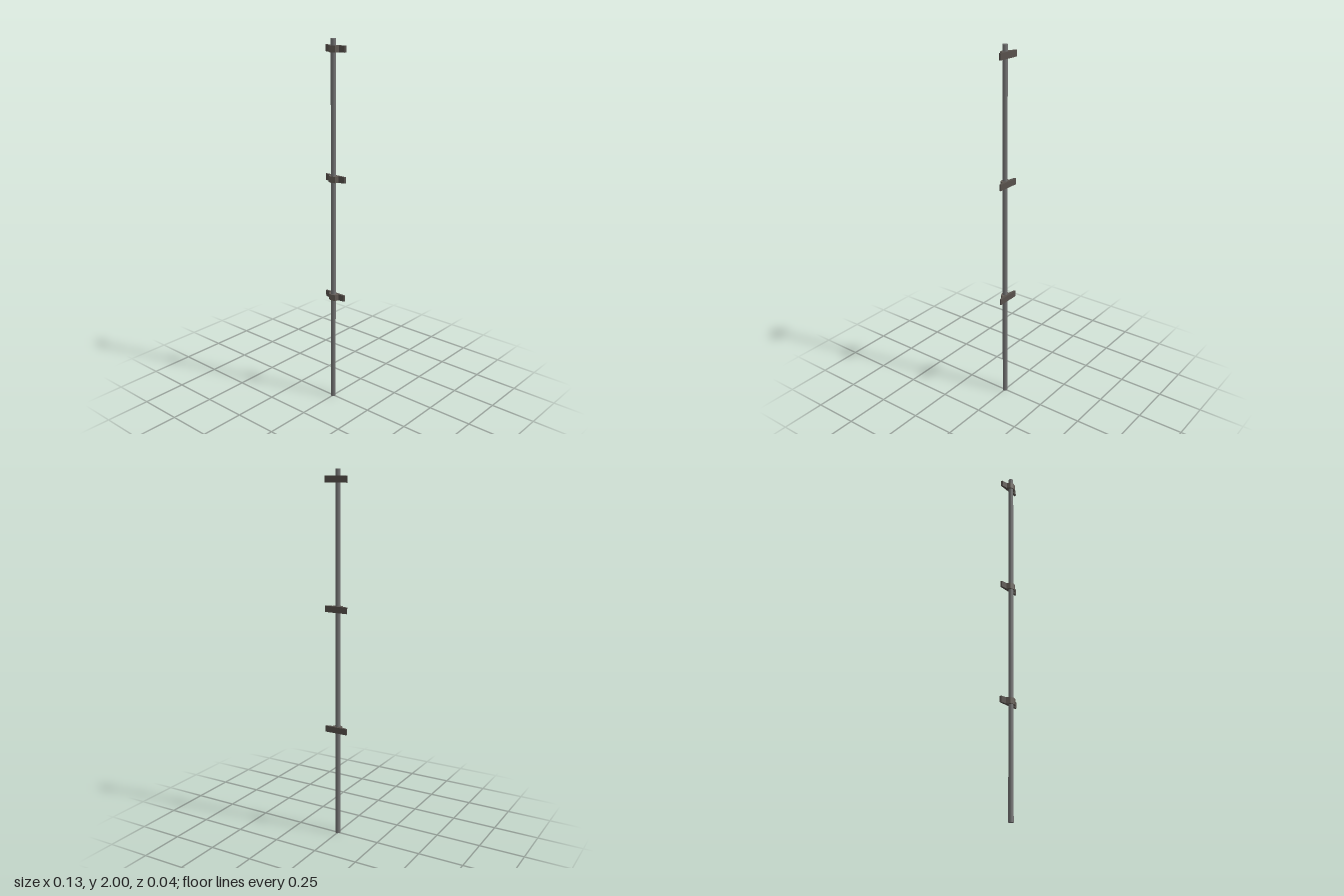
import * as THREE from 'three';

// Slab of constant height from an outline given as [x, z], centred on y = 0
function slab(points, height, material, name) {
  const shape = new THREE.Shape(points.map(([x, z]) => new THREE.Vector2(x, -z)));
  const geometry = new THREE.ExtrudeGeometry(shape, { depth: height, bevelEnabled: false });
  geometry.rotateX(-Math.PI / 2);
  geometry.translate(0, -height / 2, 0);
  const mesh = new THREE.Mesh(geometry, material);
  mesh.name = name;
  return mesh;
}

export function createModel() {
  const model = new THREE.Group();
  model.name = 'pipeWithBrackets';

  const steel = new THREE.MeshStandardMaterial({ color: 0x747474 });
  steel.name = 'grey steel';
  const plateBrown = new THREE.MeshStandardMaterial({ color: 0x57514c });
  plateBrown.name = 'dark brown metal';
  const clampBrown = new THREE.MeshStandardMaterial({ color: 0x645d56 });
  clampBrown.name = 'brown metal';

  // Upright pipe
  const pipe = new THREE.Mesh(new THREE.CylinderGeometry(0.0135, 0.0135, 2, 12), steel);
  pipe.name = 'pipe';
  pipe.position.y = 1;
  model.add(pipe);

  // Wall plate with tapered ears, and the faceted clamp around the pipe
  const height = 0.034;
  const plate = [[-0.067, -0.022], [-0.063, -0.012], [-0.031, -0.007],
    [0.031, -0.007], [0.063, -0.012], [0.067, -0.022]];
  const clamp = [[-0.031, -0.007], [-0.022, 0.013], [0, 0.02], [0.022, 0.013], [0.031, -0.007]];

  // Three evenly spaced brackets
  for (let i = 0; i < 3; i++) {
    const bracket = new THREE.Group();
    bracket.name = 'bracket' + (i + 1);
    bracket.add(slab(plate, height, plateBrown, 'wallPlate'));
    bracket.add(slab(clamp, height, clampBrown, 'pipeClamp'));
    bracket.position.y = 0.615 + i * 0.667;
    model.add(bracket);
  }
  return model;
}
